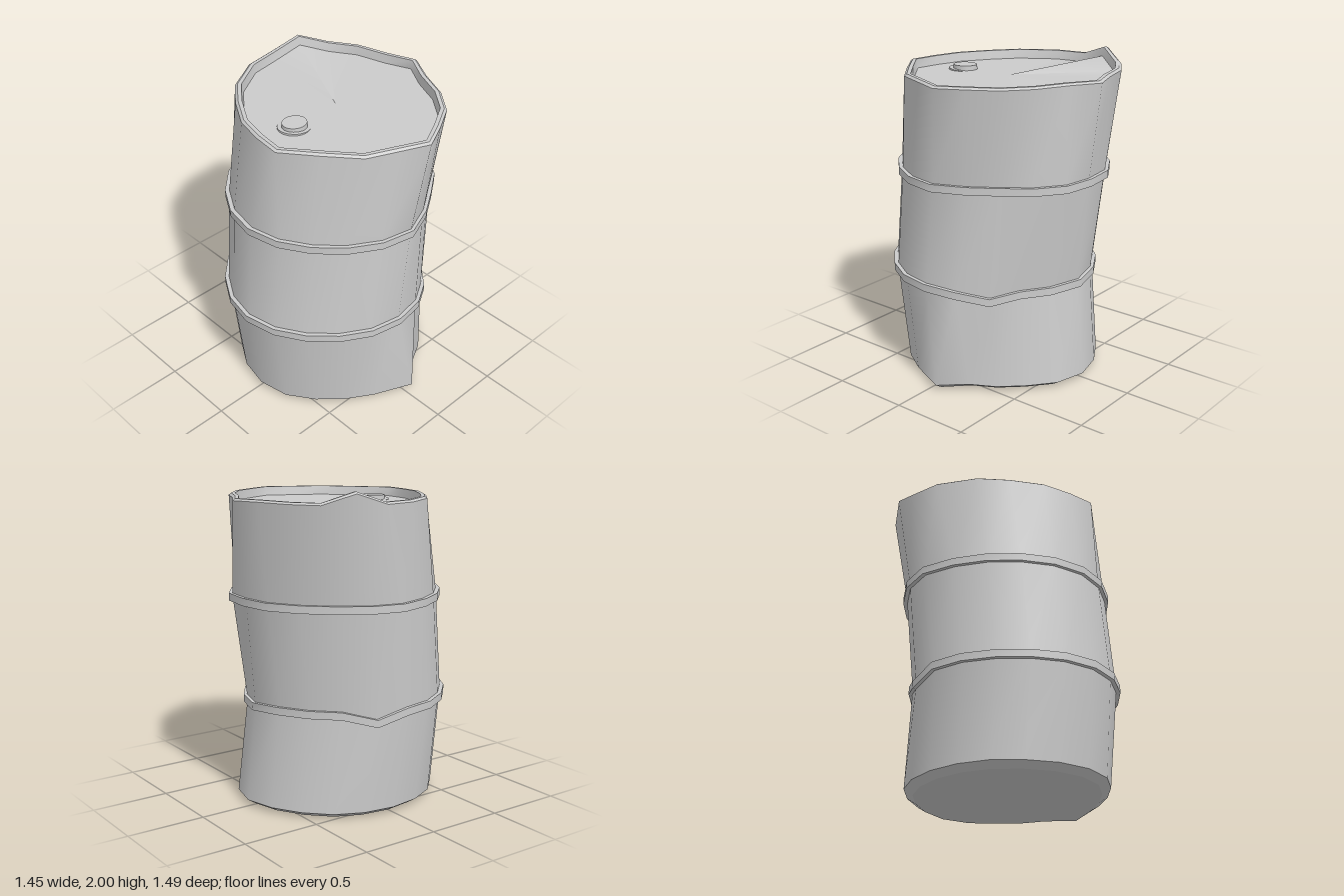
import * as THREE from 'three';
import { mergeGeometries } from 'three/addons/utils/BufferGeometryUtils.js';

const N = 20; // sides around the drum, counted from +z towards +x

// Cross-section slightly flattened on the diagonals; tweaks = { index: [dx, dy, dz] } adds dents
function section(y, radius, cx, cz, tweaks = {}) {
  return Array.from({ length: N }, (_, i) => {
    const a = (i / N) * Math.PI * 2;
    const r = radius * (1 - 0.035 * Math.sin(2 * a) ** 2);
    const p = new THREE.Vector3(cx + r * Math.sin(a), y, cz + r * Math.cos(a));
    if (tweaks[i]) p.add(new THREE.Vector3(...tweaks[i]));
    return p;
  });
}

function middle(sec) {
  return sec.reduce((s, p) => s.add(p), new THREE.Vector3()).divideScalar(N);
}

// Copy of a section pushed out (or in, if negative) from its middle and raised
function offset(sec, out, up = 0) {
  const c = middle(sec);
  return sec.map((p) => {
    const d = new THREE.Vector3(p.x - c.x, 0, p.z - c.z).normalize();
    return p.clone().addScaledVector(d, out).setY(p.y + up);
  });
}

// Skin consecutive sections: smooth around, sharp between bands
function loft(sections) {
  const bands = [];
  for (let k = 0; k + 1 < sections.length; k++) {
    const geo = new THREE.BufferGeometry().setFromPoints([...sections[k], ...sections[k + 1]]);
    const index = [];
    for (let i = 0; i < N; i++) {
      const j = (i + 1) % N;
      index.push(i, j, N + j, i, N + j, N + i);
    }
    geo.setIndex(index);
    geo.computeVertexNormals();
    bands.push(geo);
  }
  return mergeGeometries(bands);
}

export function createModel() {
  const group = new THREE.Group();
  const material = new THREE.MeshStandardMaterial({ color: 0xcccccc });
  const add = (name, geometry) => {
    const mesh = new THREE.Mesh(geometry, material);
    mesh.name = name;
    group.add(mesh);
    return mesh;
  };

  // Key cross-sections, shifted and dented so the drum looks battered
  const foot = section(0.035, 0.66, 0.01, 0, {
    2: [-0.01, 0, -0.01], 3: [-0.02, 0, -0.01], 4: [-0.02, 0, 0], 5: [0.05, 0, -0.05],
    6: [-0.05, 0, 0], 7: [-0.03, 0, 0.02], 8: [-0.02, 0, 0.02], 10: [0, 0, -0.01],
    14: [0.02, 0, 0], 15: [0.03, 0, 0], 16: [0.02, 0, 0],
  });
  const waist = section(0.655, 0.663, 0.004, 0.06, {
    6: [0, -0.012, 0], 7: [-0.01, -0.05, 0], 8: [-0.01, -0.015, 0.025], 9: [0, -0.015, 0.02],
    10: [0, -0.01, -0.005], 14: [-0.01, -0.05, 0],
  });
  const chest = section(1.31, 0.672, -0.005, -0.01, {
    6: [-0.04, 0, 0.01], 7: [-0.04, 0, 0.03], 8: [-0.015, 0, 0.01], 10: [0, 0, 0.015],
    14: [-0.015, 0, 0], 15: [-0.02, 0, 0],
  });
  const rimPlan = [
    [0, 0.585], [0.18, 0.605], [0.38, 0.45], [0.57, 0.29], [0.65, 0.1],
    [0.725, -0.08], [0.64, -0.25], [0.54, -0.42], [0.38, -0.55], [0.18, -0.64],
    [0, -0.745], [-0.18, -0.68], [-0.4, -0.62], [-0.57, -0.51], [-0.68, -0.34],
    [-0.725, -0.15], [-0.69, 0.06], [-0.55, 0.29], [-0.39, 0.42], [-0.19, 0.54],
  ];
  const rim = rimPlan.map(([x, z], i) => new THREE.Vector3(x, i === 14 ? 1.988 : 1.923, z));

  // Shell with chamfered base
  const base = offset(foot, -0.055, -0.035);
  add('body', loft([base.map(() => middle(base)), base, foot, waist, chest, rim]));

  // Folded top lip
  const lipInner = offset(rim, -0.04, 0.012);
  const lidEdge = offset(rim, -0.05, -0.045);
  add('rim', loft([rim, offset(rim, -0.016, 0.012), lipInner, lidEdge]));

  // Sunken lid
  const lidMiddle = new THREE.Vector3(-0.02, 1.882, -0.05);
  add('lid', loft([lidEdge, lidEdge.map(() => lidMiddle)]));

  // Raised hoops following the dented sections
  for (const [name, sec] of [['lowerHoop', waist], ['upperHoop', chest]]) {
    const h = 0.024;
    add(name, loft([
      offset(sec, -0.02, -h), offset(sec, 0.024, -h), offset(sec, 0.024, h), offset(sec, -0.02, h),
    ]));
  }

  // Low filler cap on a tilted seat that shows only along its front edge
  const seat = add('capSeat', new THREE.CylinderGeometry(0.1, 0.1, 0.02, 24));
  seat.position.set(0, 1.872, 0.305);
  seat.rotation.set(-0.08, 0, 0.04);
  const cap = add('fillerCap', new THREE.CylinderGeometry(0.072, 0.075, 0.05, 24));
  cap.position.set(0, 1.885, 0.3);
  cap.scale.z = 1.08;

  return group;
}
